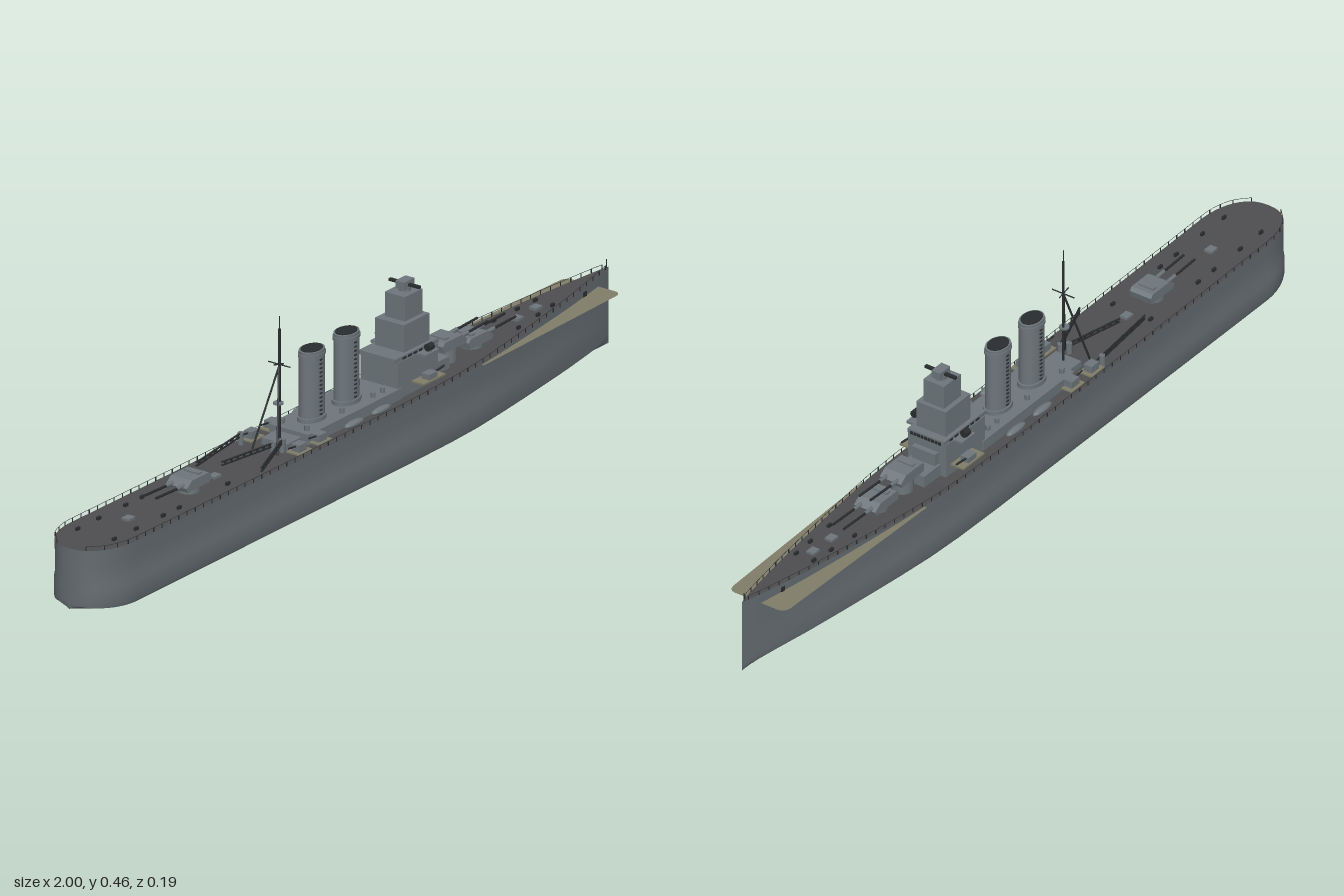
import * as THREE from 'three';
import { toCreasedNormals } from 'three/addons/utils/BufferGeometryUtils.js';

const mat = (name, color, side = THREE.FrontSide) => {
  const m = new THREE.MeshStandardMaterial({ color, side });
  m.name = name;
  return m;
};

// Height of the deck edge and half breadth along the ship
const deckY = x => 0.152 + 0.031 * Math.pow(Math.max(0, (x - 0.1) / 0.9), 1.5) + 0.006 * Math.max(0, -x) ** 2;
const bowLine = [[0.15, 0.094], [0.3, 0.092], [0.4, 0.087], [0.5, 0.077], [0.6, 0.065], [0.7, 0.052], [0.8, 0.038], [0.9, 0.021], [0.97, 0.008], [1, 0]];
function halfWidth(x) {
  if (x < -0.87) return 0.094 * Math.pow(Math.max(0, 1 - ((x + 0.87) / 0.13) ** 2), 0.42);
  if (x <= 0.15) return 0.094;
  const i = Math.min(bowLine.findIndex(p => p[0] >= x), bowLine.length - 1);
  const [a, b] = [bowLine[i - 1], bowLine[i]];
  return a[1] + (b[1] - a[1]) * (x - a[0]) / (b[0] - a[0]);
}

function stations() {
  const xs = [];
  for (let i = 0; i < 12; i++) xs.push(-0.87 - 0.13 * Math.cos(i / 12 * Math.PI / 2));
  for (let x = -0.87; x < 0.15; x += 0.1) xs.push(x);
  return xs.concat(bowLine.map(p => p[0]));
}

function gridGeometry(rows, flip) {
  const n = rows[0].length, idx = [];
  for (let i = 0; i < rows.length - 1; i++) for (let j = 0; j < n - 1; j++) {
    const a = i * n + j, b = a + n, c = a + 1, d = b + 1;
    if (flip) idx.push(a, b, c, b, d, c); else idx.push(a, c, b, b, c, d);
  }
  const g = new THREE.BufferGeometry();
  g.setAttribute('position', new THREE.Float32BufferAttribute(rows.flat(2), 3));
  g.setIndex(idx);
  return toCreasedNormals(g, 0.6);
}

// Section: deck edge, recess above the bulge, bilge and shallow keel
function hullGeometry() {
  return gridGeometry(stations().map(x => {
    const w = halfWidth(x), top = deckY(x), rise = 0.012 * Math.max(0, (-x - 0.85) / 0.15) ** 2;
    const half = [[0.965, top], [0.95, 0.12], [0.955, 0.078], [1, 0.062], [1, 0.022], [0.97, 0.012], [0.6, 0.007], [0, 0.001]]
      .map(([f, y]) => [x, y < 0.05 ? y + rise : y, f * w]);
    return half.concat(half.slice(0, -1).reverse().map(([a, y, z]) => [a, y, -z]));
  }), false);
}

const deckGeometry = () => gridGeometry(stations().map(x => {
  const w = halfWidth(x) * 0.965;
  return [[x, deckY(x), w], [x, deckY(x), -w]];
}), true);

// Side profile in x and y, extruded across the ship
function across(points, width) {
  const g = new THREE.ExtrudeGeometry(new THREE.Shape(points.map(p => new THREE.Vector2(...p))), { depth: width, bevelEnabled: false });
  return g.translate(0, 0, -width / 2);
}

export function createModel() {
  const hullGrey = mat('hull grey', 0x646c70);
  const grey = mat('superstructure grey', 0x6d767b);
  const deckMat = mat('deck dark grey', 0x4e4e50);
  const olive = mat('olive', 0x7f7d69, THREE.DoubleSide);
  const dark = mat('fittings black', 0x2a2d2f, THREE.DoubleSide);

  const model = new THREE.Group();
  model.name = 'warship';
  model.position.z = -0.005;
  const root = new THREE.Group();
  root.add(model);
  const add = (name, geo, m, x = 0, y = 0, z = 0, parent = model) => {
    const mesh = new THREE.Mesh(geo, m);
    mesh.name = name;
    mesh.position.set(x, y, z);
    parent.add(mesh);
    return mesh;
  };
  // Box given by its x, y limits and z centre and width
  const box = (name, m, x0, x1, y0, y1, width, z = 0, parent = model) =>
    add(name, new THREE.BoxGeometry(x1 - x0, y1 - y0, width), m, (x0 + x1) / 2, (y0 + y1) / 2, z, parent);
  const cyl = (name, m, r, y0, y1, x, z, sides = 12, parent = model) =>
    add(name, new THREE.CylinderGeometry(r, r, y1 - y0, sides), m, x, (y0 + y1) / 2, z, parent);
  const rod = (name, m, a, b, r, parent = model) => {
    const path = new THREE.LineCurve3(new THREE.Vector3(...a), new THREE.Vector3(...b));
    return add(name, new THREE.TubeGeometry(path, 1, r, 6), m, 0, 0, 0, parent);
  };

  // Hull and decks
  add('hull', hullGeometry(), hullGrey);
  add('mainDeck', deckGeometry(), deckMat);
  const plate = new THREE.Shape();
  plate.moveTo(0.42, -0.088).lineTo(0.92, -0.078).quadraticCurveTo(0.945, -0.078, 0.945, -0.055);
  plate.lineTo(0.945, 0.055).quadraticCurveTo(0.945, 0.078, 0.92, 0.078).lineTo(0.42, 0.088);
  add('foreDeckPlate', new THREE.ShapeGeometry(plate).rotateX(-Math.PI / 2), olive, 0, 0.156, 0);

  // Deckhouse
  box('deckhouse', grey, -0.185, 0.16, 0.145, 0.178, 0.11);
  box('aftHouse', grey, -0.24, -0.185, 0.145, 0.168, 0.07);
  box('foreHouse', grey, 0.29, 0.36, 0.145, 0.185, 0.075);

  // Bridge tower
  box('towerBase', grey, 0.15, 0.298, 0.145, 0.24, 0.104);
  box('towerBaseRoof', grey, 0.142, 0.302, 0.24, 0.25, 0.1);
  box('towerMiddle', grey, 0.188, 0.282, 0.25, 0.315, 0.08);
  box('towerUpper', grey, 0.208, 0.272, 0.315, 0.373, 0.056);
  box('bridgeFront', grey, 0.298, 0.312, 0.175, 0.215, 0.064);
  for (let i = 0; i < 9; i++) box('bridgeWindow', dark, 0.301, 0.304, 0.239, 0.246, 0.0075, (i - 4) * 0.0095);
  for (const s of [-1, 1]) for (let i = 0; i < 6; i++)
    box('sideWindow', dark, 0.17 + i * 0.02, 0.182 + i * 0.02, 0.242, 0.247, 0.002, s * 0.0505);
  cyl('directorBase', grey, 0.014, 0.373, 0.383, 0.245, 0);
  box('directorHouse', grey, 0.226, 0.264, 0.38, 0.398, 0.024);
  box('rangefinder', dark, 0.241, 0.249, 0.385, 0.391, 0.084);

  // Wing platforms with light guns and directors
  for (const s of [-1, 1]) {
    box('wingPlatform', olive, 0.2, 0.28, 0.178, 0.182, 0.04, s * 0.067);
    box('wingGun', grey, 0.225, 0.255, 0.182, 0.195, 0.022, s * 0.072);
    rod('wingGunBarrel', dark, [0.25, 0.191, s * 0.075], [0.29, 0.195, s * 0.075], 0.0025);
    box('directorWing', grey, 0.22, 0.27, 0.236, 0.242, 0.028, s * 0.062);
    cyl('wingDirectorStand', grey, 0.006, 0.24, 0.25, 0.245, s * 0.068, 8);
    const head = cyl('wingDirector', dark, 0.009, 0.244, 0.262, 0.245, s * 0.068, 10);
    head.rotation.z = Math.PI / 2;
  }

  // Funnels: oval casing, rim, dark mouth and ladder
  for (const x of [-0.1, 0.028]) {
    const funnel = new THREE.Group();
    funnel.name = 'funnel';
    funnel.position.x = x;
    model.add(funnel);
    const oval = (name, m, r, y0, y1) => { cyl(name, m, r, y0, y1, 0, 0, 28, funnel).scale.z = 0.72; };
    oval('funnelCasing', grey, 0.035, 0.17, 0.345);
    oval('funnelFoot', grey, 0.04, 0.17, 0.188);
    oval('funnelRim', grey, 0.0375, 0.33, 0.338);
    oval('funnelMouth', dark, 0.03, 0.34, 0.347);
    for (const s of [-1, 1]) for (let i = 0; i < 14; i++)
      box('ladderRung', dark, -0.004, 0.004, 0.192 + i * 0.01, 0.195 + i * 0.01, 0.003, s * 0.0255, funnel);
  }

  // Gun turrets
  function turret(x, y, dir, reach) {
    const g = new THREE.Group();
    g.name = 'turret';
    g.position.set(x, y, 0);
    if (dir < 0) g.rotation.y = Math.PI;
    model.add(g);
    cyl('barbette', grey, 0.027, -0.035, 0.003, 0, 0, 20, g);
    add('turretHouse', across([[-0.042, 0.002], [0.04, 0.002], [0.044, 0.012], [0.024, 0.026], [-0.038, 0.026], [-0.046, 0.018]], 0.058), grey, 0, 0, 0, g);
    box('turretSight', grey, -0.025, -0.012, 0.026, 0.03, 0.04, 0, g);
    for (const z of [-0.015, 0.015]) {
      rod('gunBarrel', dark, [0.03, 0.014, z], [reach, 0.018, z], 0.003, g);
      rod('gunSleeve', grey, [0.03, 0.014, z], [0.065, 0.0155, z], 0.005, g);
    }
  }
  turret(0.49, 0.168, 1, 0.145);
  turret(0.393, 0.19, 1, 0.14);
  turret(-0.558, 0.165, -1, 0.14);

  // Tripod mast
  rod('mast', dark, [-0.22, 0.15, 0], [-0.22, 0.43, 0], 0.0035);
  rod('topmast', dark, [-0.22, 0.42, 0], [-0.22, 0.46, 0], 0.0012);
  for (const s of [-1, 1]) rod('mastLeg', dark, [-0.275, 0.15, s * 0.035], [-0.222, 0.34, 0], 0.0025);
  rod('yard', dark, [-0.22, 0.345, -0.03], [-0.22, 0.345, 0.03], 0.0016);
  rod('gaff', dark, [-0.24, 0.35, 0], [-0.205, 0.342, 0], 0.0016);
  cyl('mastPlatform', grey, 0.012, 0.252, 0.256, -0.224, 0);

  // Derricks and small mounts abaft the funnels
  const derricks = [[[-0.40, 0.172, 0.085], [-0.25, 0.178, 0.03]], [[-0.46, 0.172, -0.05], [-0.27, 0.176, -0.07]], [[-0.42, 0.17, -0.01], [-0.27, 0.174, 0.02]]];
  for (const [a, b] of derricks) {
    for (const h of [-0.004, 0.004]) rod('derrickBeam', dark, [a[0], a[1] + h, a[2]], [b[0], b[1] + h, b[2]], 0.0025);
    for (let i = 0; i < 8; i++) {
      const p = a.map((v, k) => v + (b[k] - v) * (i + 0.5) / 8);
      box('derrickBrace', dark, p[0] - 0.002, p[0] + 0.002, p[1] - 0.004, p[1] + 0.004, 0.004, p[2]);
    }
    cyl('derrickPost', grey, 0.007, 0.148, b[1] + 0.006, b[0], b[2], 8);
  }
  for (const s of [-1, 1]) {
    for (const x of [-0.235, -0.16]) {
      box('mountPlatform', olive, x - 0.025, x + 0.025, 0.158, 0.161, 0.036, s * 0.066);
      box('smallMount', grey, x - 0.014, x + 0.014, 0.161, 0.178, 0.022, s * 0.066);
      rod('smallBarrel', dark, [x, 0.172, s * 0.066], [x - 0.04, 0.177, s * 0.066], 0.002);
    }
    for (const x of [-0.04, 0.06]) { // Boats beside the funnels
      const boat = add('boat', new THREE.SphereGeometry(1, 14, 8), grey, x, 0.163, s * 0.072);
      boat.scale.set(0.035, 0.008, 0.01);
    }
    // Anchor and hawse
    box('anchor', dark, 0.872, 0.884, 0.157, 0.168, 0.004, s * (halfWidth(0.878) * 0.965 + 0.0005));
  }

  // Vents, hatches and bollards
  for (const s of [-1, 1]) {
    for (const x of [-0.9, -0.82, -0.72, -0.66, -0.48, 0.62, 0.7, 0.76])
      box('bollard', dark, x - 0.006, x + 0.006, deckY(x) - 0.002, deckY(x) + 0.007, 0.006, s * halfWidth(x) * 0.55);
    for (const x of [-0.165, -0.035, 0.08, 0.115]) cyl('ventilator', grey, 0.006, 0.178, 0.19, x, s * 0.035, 8);
  }
  for (const x of [-0.78, -0.46, 0.66, 0.73]) box('hatch', grey, x - 0.012, x + 0.012, deckY(x) - 0.002, deckY(x) + 0.006, 0.02);
  rod('jackstaff', dark, [0.992, 0.18, 0], [0.992, 0.203, 0], 0.001);

  // Guard rails
  for (const s of [-1, 1]) {
    const pts = [];
    for (let i = 0; i <= 64; i++) {
      const x = -0.99 + i * 0.0308, z = s * halfWidth(x) * 0.95;
      pts.push(new THREE.Vector3(x, deckY(x) + 0.01, z));
      box('railPost', dark, x - 0.0009, x + 0.0009, deckY(x), deckY(x) + 0.01, 0.0018, z);
    }
    add('guardRail', new THREE.TubeGeometry(new THREE.CatmullRomCurve3(pts), 130, 0.0006, 4), dark);
  }
  return root;
}
